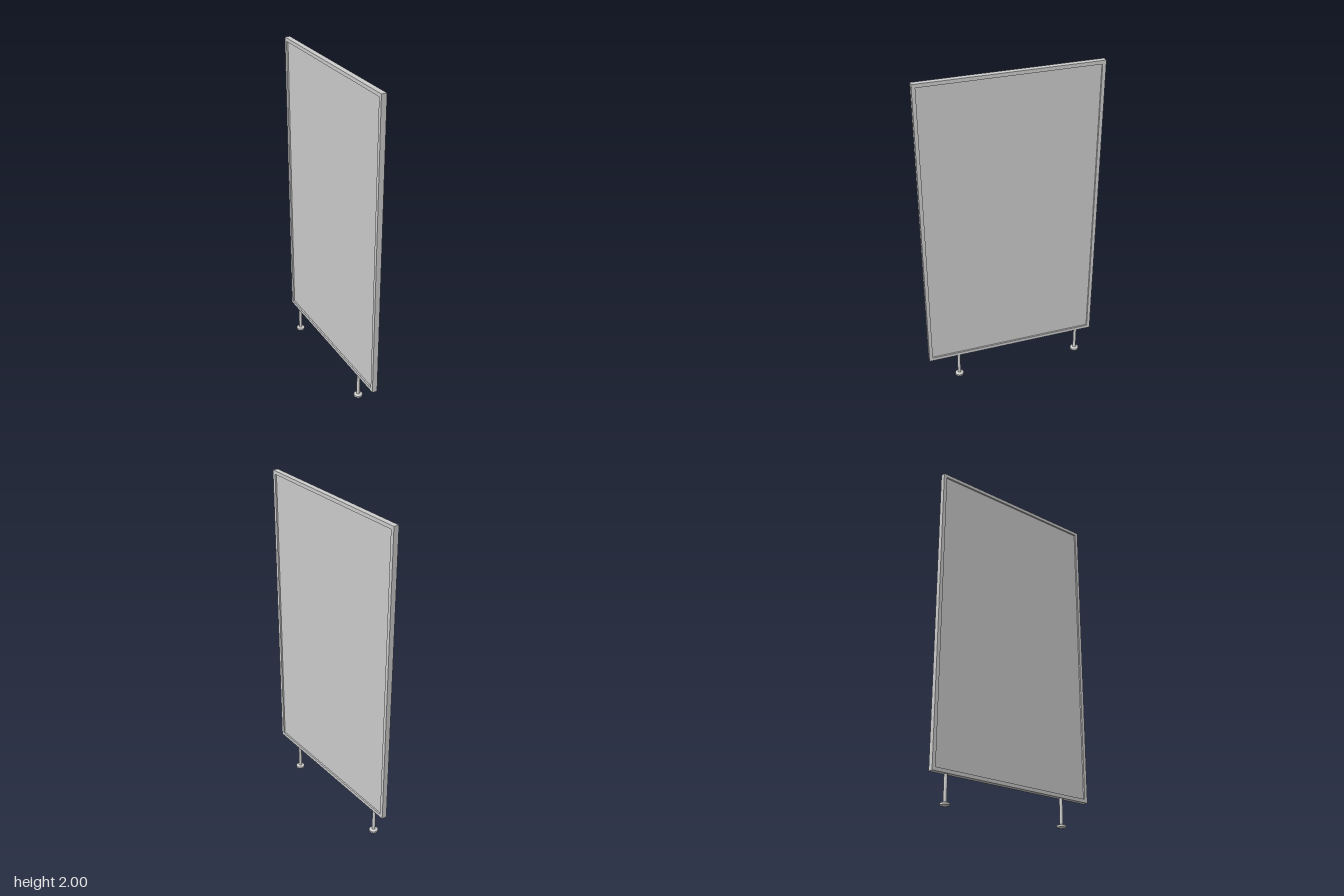
import * as THREE from 'three';

const WIDTH = 1.07, BOTTOM = 0.165, TOP = 2, DEPTH = 0.032, RIM = 0.021;

export function createModel() {
  const model = new THREE.Group();
  const material = new THREE.MeshStandardMaterial({ color: 0xcccccc });
  const add = (parent, name, geometry, x = 0, y = 0, z = 0) => {
    const mesh = new THREE.Mesh(geometry, material);
    mesh.name = name;
    mesh.position.set(x, y, z);
    parent.add(mesh);
    return mesh;
  };

  // Rectangular frame, extruded across x
  const w = WIDTH / 2, i = w - RIM;
  const outline = new THREE.Shape([
    new THREE.Vector2(-w, BOTTOM), new THREE.Vector2(w, BOTTOM),
    new THREE.Vector2(w, TOP), new THREE.Vector2(-w, TOP),
  ]);
  outline.holes.push(new THREE.Path([
    new THREE.Vector2(-i, BOTTOM + RIM), new THREE.Vector2(-i, TOP - RIM),
    new THREE.Vector2(i, TOP - RIM), new THREE.Vector2(i, BOTTOM + RIM),
  ]));
  const frame = new THREE.ExtrudeGeometry(outline, { depth: DEPTH, bevelEnabled: false });
  frame.translate(0, 0, -DEPTH / 2).rotateY(Math.PI / 2);
  add(model, 'frame', frame);

  // Panel recessed on both faces
  add(model, 'panel', new THREE.BoxGeometry(0.013, TOP - BOTTOM - 2 * RIM, WIDTH - 2 * RIM),
    0, (TOP + BOTTOM) / 2, 0);

  // Two round legs, each on a foot with a sloping top
  for (const [name, z] of [['frontLeg', 0.345], ['backLeg', -0.44]]) {
    const leg = new THREE.Group();
    leg.name = name;
    leg.position.z = z;
    add(leg, 'post', new THREE.CylinderGeometry(0.01, 0.01, BOTTOM - 0.01, 24), 0, (BOTTOM + 0.01) / 2, 0);
    add(leg, 'footBase', new THREE.CylinderGeometry(0.027, 0.027, 0.011, 24), 0, 0.0055, 0);
    add(leg, 'footTop', new THREE.CylinderGeometry(0.015, 0.027, 0.006, 24), 0, 0.014, 0);
    model.add(leg);
  }
  return model;
}
